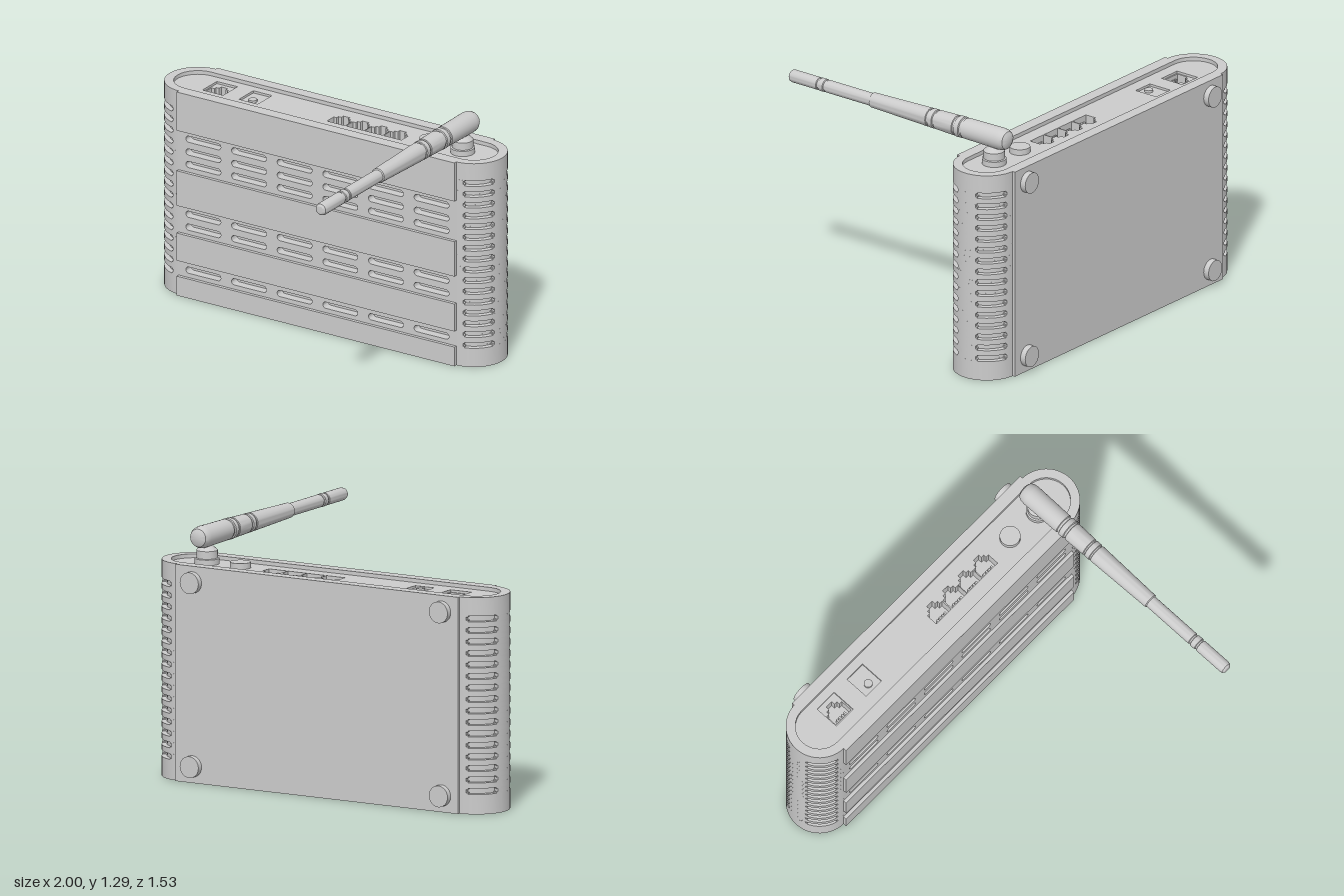
import * as THREE from 'three';
import { toCreasedNormals, mergeGeometries } from 'three/addons/utils/BufferGeometryUtils.js';

const H = 1.11;          // case height
const CZ = 0.55;         // case centre line, as -z
const END_X = 0.83;      // centre of the rounded ends
const R = 0.17, R_IN = 0.1225, R_SLOT = 0.143;
const mat = new THREE.MeshStandardMaterial({ color: 0xcccccc });

// pill outline, as shape or hole
function pill(cx, cy, w, h, Type = THREE.Shape) {
  const r = h / 2, d = w / 2 - r, s = new Type();
  s.absarc(cx + d, cy, r, -Math.PI / 2, Math.PI / 2, false);
  s.absarc(cx - d, cy, r, Math.PI / 2, Math.PI * 1.5, false);
  s.closePath();
  return s;
}

function poly(points, Type = THREE.Shape) {
  return new Type(points.map(([x, y]) => new THREE.Vector2(x, y)));
}

function rect(x0, y0, x1, y1, Type) {
  return poly([[x0, y0], [x1, y0], [x1, y1], [x0, y1]], Type);
}

// extrude a floor-plan shape (x, -z) upwards from y0 to y1
function prism(shape, y0, y1, curveSegments = 16) {
  return new THREE.ExtrudeGeometry(shape, { depth: y1 - y0, bevelEnabled: false, curveSegments })
    .rotateX(-Math.PI / 2).translate(0, y0, 0);
}

// C-shaped section of a rounded end; "trim" shortens the two vent notches
function endSection(side, notched, trim = 0) {
  const a = 19 + trim, b = 76 - trim;
  const spans = [[-90, -b, R], [-b, -a, R_SLOT], [-a, a, R], [a, b, R_SLOT], [b, 90, R]];
  const pts = [];
  const add = (deg, r) => {
    const t = THREE.MathUtils.degToRad(deg);
    pts.push([side * (END_X + r * Math.cos(t)), CZ + r * Math.sin(t)]);
  };
  if (notched) {
    for (const [from, to, r] of spans)
      for (let i = 0; i <= 7; i++) add(from + (to - from) * i / 7, r);
  } else for (let i = 0; i <= 32; i++) add(-90 + 180 * i / 32, R);
  for (let i = 0; i <= 16; i++) add(90 - 180 * i / 16, R_IN);
  return poly(pts);
}

// rounded end with a ladder of vents, stacked from plain and notched layers
function ventedEnd(side) {
  const layers = [];
  let y = 0;
  for (let i = 0; i < 16; i++) {
    const c = 0.117 + i * 0.0589;
    layers.push(prism(endSection(side, false), y, c - 0.015));
    layers.push(prism(endSection(side, true, 3), c - 0.015, c - 0.008));
    layers.push(prism(endSection(side, true), c - 0.008, c + 0.008));
    layers.push(prism(endSection(side, true, 3), c + 0.008, c + 0.015));
    y = c + 0.015;
  }
  layers.push(prism(endSection(side, false), y, H));
  return mergeGeometries(layers);
}

// stepped socket outline
function socket(cx, w) {
  const pts = [[-0.5, -0.43], [0.5, -0.43], [0.5, 0.15], [0.34, 0.15], [0.34, 0.3], [0.18, 0.3], [0.18, 0.48],
    [-0.18, 0.48], [-0.18, 0.3], [-0.34, 0.3], [-0.34, 0.15], [-0.5, 0.15]];
  return poly(pts.map(([x, y]) => [cx + x * w, CZ + y * w]), THREE.Path);
}

export function createModel() {
  const model = new THREE.Group();
  const add = (name, geo, x = 0, y = 0, z = 0) => {
    const mesh = new THREE.Mesh(toCreasedNormals(geo, 0.5), mat);
    mesh.name = name;
    mesh.position.set(x, y, z);
    model.add(mesh);
    return mesh;
  };
  const block = (name, x0, x1, y0, y1, z0, z1) =>
    add(name, new THREE.BoxGeometry(x1 - x0, y1 - y0, z1 - z0), (x0 + x1) / 2, (y0 + y1) / 2, (z0 + z1) / 2);

  // case
  add('rightVentedEnd', ventedEnd(-1));
  add('leftVentedEnd', ventedEnd(1));
  const innerW = 2 * (END_X + R_IN), innerH = 2 * R_IN;
  add('core', prism(pill(0, CZ, innerW, innerH), 0.015, 1.02));
  block('backPlate', -0.835, 0.835, 0, H, -0.735, -CZ - R_IN);

  // front wall with vent rows
  const front = rect(-END_X, 0, END_X, H);
  for (const y of [0.86, 0.79, 0.722, 0.45, 0.38, 0.145])
    for (let i = 0; i < 6; i++)
      front.holes.push(pill((i - 2.5) * 0.2745, y, 0.21, 0.034, THREE.Path));
  add('frontVentWall', new THREE.ExtrudeGeometry(front, { depth: R - R_IN, bevelEnabled: false, curveSegments: 8 }),
    0, 0, -CZ + R_IN);
  for (const [y0, y1] of [[0, 0.105], [0.19, 0.34], [0.49, 0.68], [0.9, H]])
    block('frontBand', -0.835, 0.835, y0, y1, -0.385, -0.362);

  // connector deck, in two layers so the left-hand pockets are stepped
  const sockets = [0.03, 0.145, 0.257, 0.37];
  const lower = pill(0, CZ, innerW, innerH), upper = pill(0, CZ, innerW, innerH);
  for (const x of sockets) {
    lower.holes.push(socket(x, 0.108));
    upper.holes.push(socket(x, 0.108));
  }
  lower.holes.push(socket(-0.705, 0.11));
  upper.holes.push(rect(-0.767, 0.495, -0.643, 0.627, THREE.Path));
  upper.holes.push(rect(-0.548, 0.495, -0.435, 0.627, THREE.Path));
  add('connectorDeckLower', prism(lower, 1.02, 1.078));
  add('connectorDeck', prism(upper, 1.078, 1.09));
  for (const x of [-0.705, ...sockets])
    for (let i = 0; i < 4; i++)
      block('socketContact', x - 0.032 + i * 0.018, x - 0.022 + i * 0.018, 1.02, 1.06, -0.525, -0.507);
  add('powerPin', new THREE.CylinderGeometry(0.022, 0.022, 0.012, 20), -0.49, 1.084, -0.535);
  add('button', new THREE.CylinderGeometry(0.053, 0.053, 0.035, 32), 0.565, 1.1025, -CZ);

  // feet on the back
  for (const x of [-0.737, 0.735])
    for (const y of [0.085, 1.027])
      add('foot', new THREE.CylinderGeometry(0.055, 0.055, 0.032, 32).rotateX(Math.PI / 2), x, y, -0.75);

  const lathe = pts => new THREE.LatheGeometry(pts.map(([r, y]) => new THREE.Vector2(r, y)), 32);

  // antenna base
  add('antennaBase', lathe([[0, 1.085], [0.062, 1.085], [0.062, 1.118], [0.054, 1.121], [0.054, 1.16],
    [0.028, 1.185], [0.028, 1.21]]), 0.765, 0, -0.545);

  // antenna rod along z with ring grooves
  const rod = [[0, -0.643], [0.03, -0.641], [0.046, -0.632], [0.054, -0.615], [0.057, -0.59], [0.054, -0.37],
    [0.049, -0.367], [0.049, -0.355], [0.055, -0.352], [0.055, -0.325], [0.049, -0.322], [0.049, -0.312],
    [0.053, -0.309], [0.05, -0.19], [0.045, -0.187], [0.045, -0.18], [0.05, -0.177], [0.05, -0.15],
    [0.045, -0.147], [0.045, -0.14], [0.049, -0.137], [0.039, 0.232], [0.033, 0.236], [0.033, 0.524],
    [0.029, 0.527], [0.029, 0.535], [0.034, 0.538], [0.034, 0.566], [0.029, 0.569], [0.029, 0.577],
    [0.033, 0.58], [0.033, 0.74], [0.03, 0.755], [0.02, 0.763], [0, 0.765]];
  add('antennaRod', lathe(rod).rotateX(Math.PI / 2), 0.765, 1.234, 0);
  return model;
}
